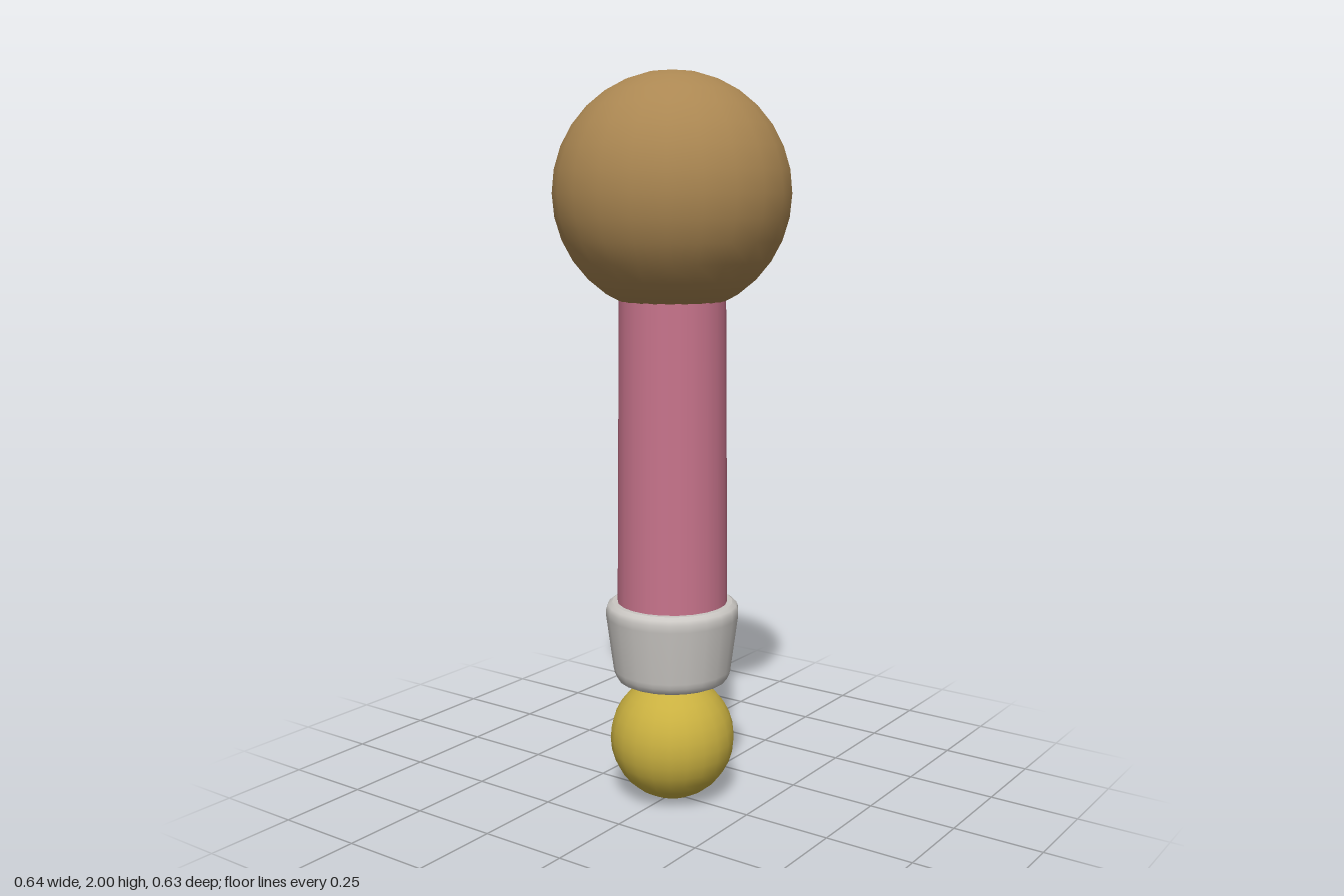
import * as THREE from 'three';

const mat = (name, color) => {
  const m = new THREE.MeshStandardMaterial({ color });
  m.name = name;
  return m;
};

export function createModel() {
  const group = new THREE.Group();
  const brown = mat('brown', 0xab8752);
  const pink = mat('pink', 0xc8748c);
  const grey = mat('light grey', 0xcac7c3);
  const gold = mat('gold', 0xc9b040);

  const add = (name, geometry, material, y) => {
    const mesh = new THREE.Mesh(geometry, material);
    mesh.name = name;
    mesh.position.y = y;
    group.add(mesh);
  };

  // Large ball on top, small ball at the foot
  add('headBall', new THREE.SphereGeometry(0.318, 22, 16), brown, 1.682);
  add('footBall', new THREE.SphereGeometry(0.174, 22, 16), gold, 0.176);

  // Slightly tapered shaft, sunk into the collar and capped inside the ball
  add('shaft', new THREE.CylinderGeometry(0.144, 0.153, 0.92, 22), pink, 0.95);

  // Flared collar with softened rims; doubled corners keep the flat ends crisp
  const profile = [
    [0, 0.345], [0.142, 0.345], [0.142, 0.345], [0.153, 0.35], [0.161, 0.366],
    [0.164, 0.38], [0.184, 0.53], [0.184, 0.55], [0.179, 0.562],
    [0.167, 0.57], [0.167, 0.57], [0, 0.57],
  ].map(([r, y]) => new THREE.Vector2(r, y));
  add('collar', new THREE.LatheGeometry(profile, 22, Math.PI / 2), grey, 0);

  return group;
}
